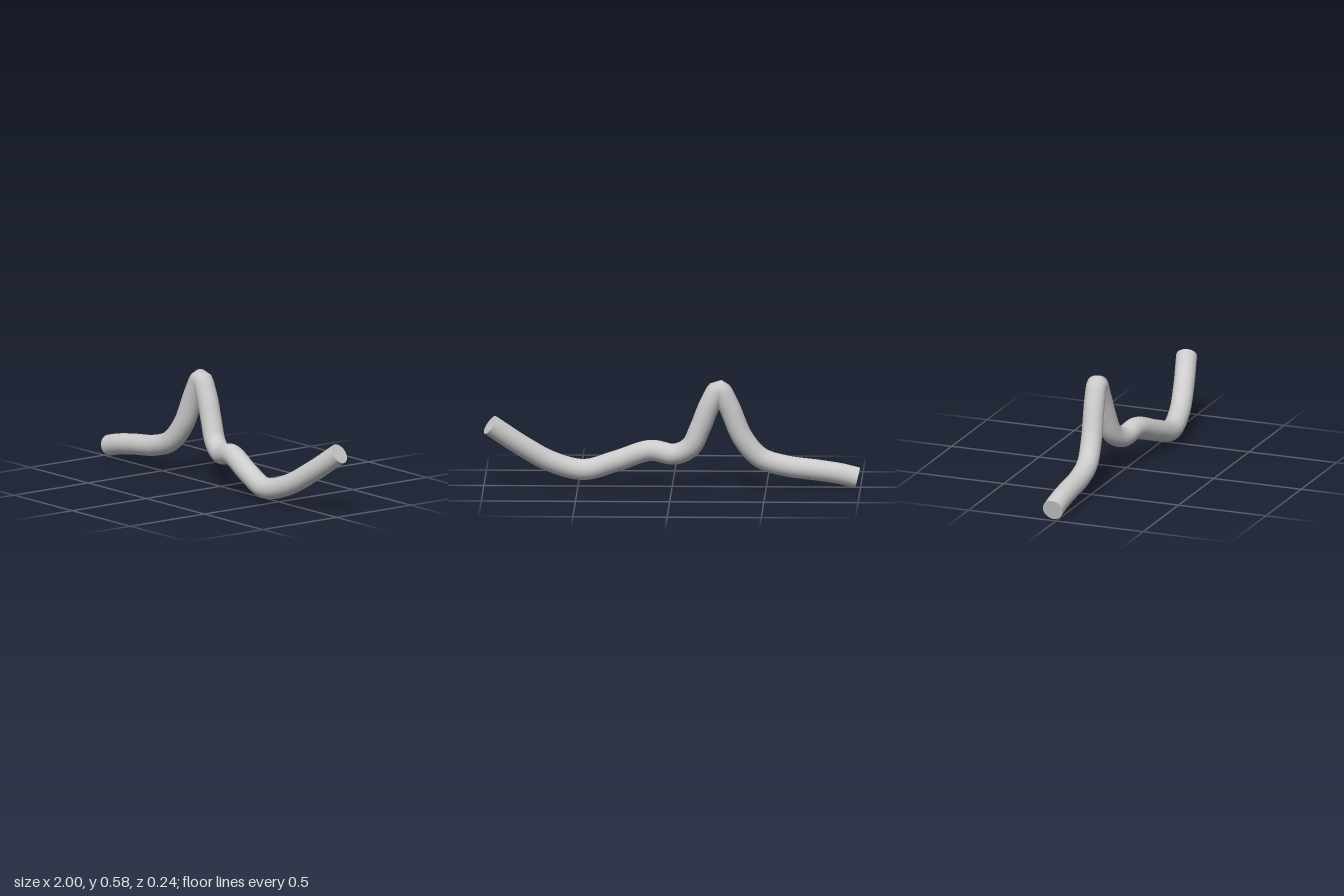
import * as THREE from 'three';

const RADIUS = 0.056, SIDES = 32, SEGMENTS = 200;

export function createModel() {
  const group = new THREE.Group();
  const material = new THREE.MeshStandardMaterial({ color: 0xcccccc });

  // Centre line of the bent rod
  const path = new THREE.CatmullRomCurve3([
    [-0.985, 0.06, -0.024], [-0.9, 0.081, -0.024], [-0.78, 0.1, -0.025], [-0.6, 0.124, -0.025],
    [-0.47, 0.168, -0.032], [-0.377, 0.275, -0.047], [-0.3, 0.455, -0.061],
    [-0.25, 0.535, -0.066], [-0.2, 0.455, -0.065],
    [-0.15, 0.33, -0.056], [-0.1, 0.228, -0.042], [-0.015, 0.182, -0.016],
    [0.115, 0.197, 0.01], [0.3, 0.133, 0.045], [0.47, 0.084, 0.063],
    [0.64, 0.128, 0.044], [0.8, 0.222, 0.005], [0.965, 0.34, -0.045],
  ].map(p => new THREE.Vector3(...p)));

  // Rod wall
  const rod = new THREE.Mesh(new THREE.TubeGeometry(path, SEGMENTS, RADIUS, SIDES), material);
  rod.name = 'bentRod';
  group.add(rod);

  // Flat discs closing both ends
  for (const [t, sign, name] of [[0, -1, 'rightEndCap'], [1, 1, 'leftEndCap']]) {
    const cap = new THREE.Mesh(new THREE.CircleGeometry(RADIUS, SIDES), material);
    const outward = path.getTangentAt(t).multiplyScalar(sign);
    cap.quaternion.setFromUnitVectors(new THREE.Vector3(0, 0, 1), outward);
    cap.position.copy(path.getPointAt(t));
    cap.name = name;
    group.add(cap);
  }
  return group;
}
